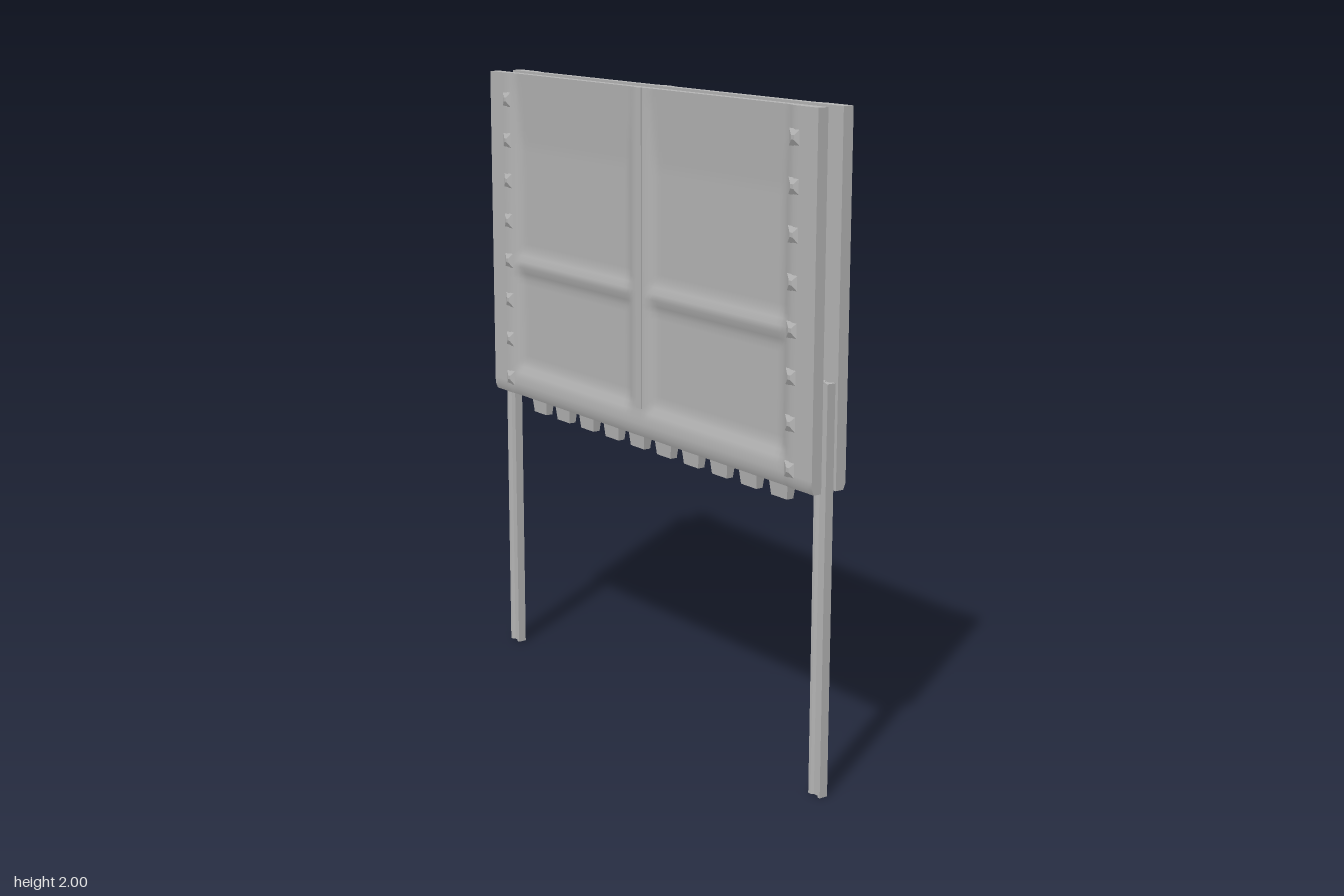
import * as THREE from 'three';

const smooth = (a, b, v) => THREE.MathUtils.smoothstep(v, a, b);

// Outer face of a pressed panel: raised ends, centre post, rib and foot around four recesses
function pressedDepth(y, z) {
  const a = Math.abs(z);
  const end = 0.02 * smooth(0.68, 0.75, a);
  const post = 0.014 * (1 - smooth(0.025, 0.08, a));
  const rib = 0.012 * (1 - smooth(0.008, 0.045, Math.abs(y - 1.37)));
  const foot = 0.017 * (1 - smooth(0.98, 1.04, y));
  const top = 0.01 * THREE.MathUtils.clamp((y - 1.76) / 0.24, 0, 1);
  return 0.042 + Math.max(end, post, rib, foot, top);
}

function panelGeometry() {
  const g = new THREE.BoxGeometry(0.03, 1.08, 1.7, 1, 54, 85);
  g.translate(0.045, 1.46, 0);
  const p = g.attributes.position;
  for (let i = 0; i < p.count; i++) {
    const y = p.getY(i), z = p.getZ(i);
    if (p.getX(i) > 0.045) {
      const chamfer = y < 0.93 ? 0.008 : 0;
      p.setX(i, pressedDepth(y, z) - chamfer);
    } else p.setX(i, 0.027);
  }
  g.computeVertexNormals();
  return g;
}

// Flat strip up the middle, with saw-toothed or straight edges
function stripGeometry(toothed) {
  const s = new THREE.Shape();
  const n = 66, y0 = 1.01, step = 0.99 / n, w = toothed ? 0.026 : 0.014;
  const edge = i => w - (toothed && i % 2 ? 0.007 : 0);
  s.moveTo(-edge(0), y0);
  for (let i = 0; i <= n; i++) s.lineTo(edge(i), y0 + i * step);
  for (let i = n; i > 0; i--) s.lineTo(-edge(i), y0 + i * step);
  const g = new THREE.ExtrudeGeometry(s, { depth: 0.006, bevelEnabled: false });
  g.rotateY(Math.PI / 2);
  g.translate(0.054, 0, -0.004);
  return g;
}

// Double-flanged post section, extruded upwards
function legGeometry() {
  const pts = [[-0.014, -0.026], [0.014, -0.026], [0.014, -0.016], [0.006, -0.01], [0.006, 0.01], [0.014, 0.016],
    [0.014, 0.026], [-0.014, 0.026], [-0.014, 0.016], [-0.006, 0.01], [-0.006, -0.01], [-0.014, -0.016]];
  const s = new THREE.Shape(pts.map(p => new THREE.Vector2(...p)));
  const g = new THREE.ExtrudeGeometry(s, { depth: 1.235, bevelEnabled: false });
  g.rotateX(-Math.PI / 2);
  return g;
}

// Hanging tooth that narrows downwards
function toothGeometry() {
  const g = new THREE.BoxGeometry(0.036, 0.075, 0.094, 1, 1, 1);
  const p = g.attributes.position;
  for (let i = 0; i < p.count; i++) {
    if (p.getY(i) < 0) {
      p.setX(i, p.getX(i) * 0.65);
      p.setZ(i, p.getZ(i) * 0.78);
    }
  }
  g.computeVertexNormals();
  return g;
}

export function createModel() {
  const model = new THREE.Group();
  const grey = new THREE.MeshStandardMaterial({ color: 0xb6b6b6 });
  grey.name = 'plainGrey';

  const add = (parent, name, geometry, x = 0, y = 0, z = 0) => {
    const m = new THREE.Mesh(geometry, grey);
    m.name = name;
    m.position.set(x, y, z);
    parent.add(m);
    return m;
  };

  // Two facing panels with rivets along both ends
  const panel = panelGeometry();
  const rivet = new THREE.CylinderGeometry(0.009, 0.034, 0.008, 4).toNonIndexed();
  rivet.computeVertexNormals();
  rivet.rotateY(Math.PI / 4);
  rivet.rotateZ(-Math.PI / 2);
  for (const side of [1, -1]) {
    const half = new THREE.Group();
    half.name = side > 0 ? 'leftPanel' : 'rightPanel';
    add(half, 'pressedPanel', panel);
    add(half, 'centreStrip', stripGeometry(side > 0));
    for (let i = 0; i < 8; i++) {
      for (const z of [-0.75, 0.75]) add(half, 'rivet', rivet, 0.065, 0.975 + i * 0.134, z);
    }
    if (side < 0) half.rotation.y = Math.PI;
    model.add(half);
  }

  // Floor between the panels with a row of teeth underneath
  add(model, 'floor', new THREE.BoxGeometry(0.056, 0.025, 1.48), 0, 0.945, 0);
  const tooth = toothGeometry();
  for (let i = 0; i < 10; i++) add(model, 'tooth', tooth, 0, 0.9, (i - 4.5) * 0.143);

  // Legs with a waisted collar beside each one
  const leg = legGeometry();
  const collar = new THREE.LatheGeometry(
    [[0, -0.027], [0.027, -0.027], [0.025, -0.018], [0.018, -0.008], [0.018, 0.008], [0.025, 0.018], [0.027, 0.027], [0, 0.027]]
      .map(p => new THREE.Vector2(...p)), 16);
  collar.rotateZ(Math.PI / 2);
  for (const s of [1, -1]) {
    add(model, 'leg', leg, 0, 0, s * 0.828);
    add(model, 'collar', collar, 0, 0.955, s * 0.782);
  }
  return model;
}
